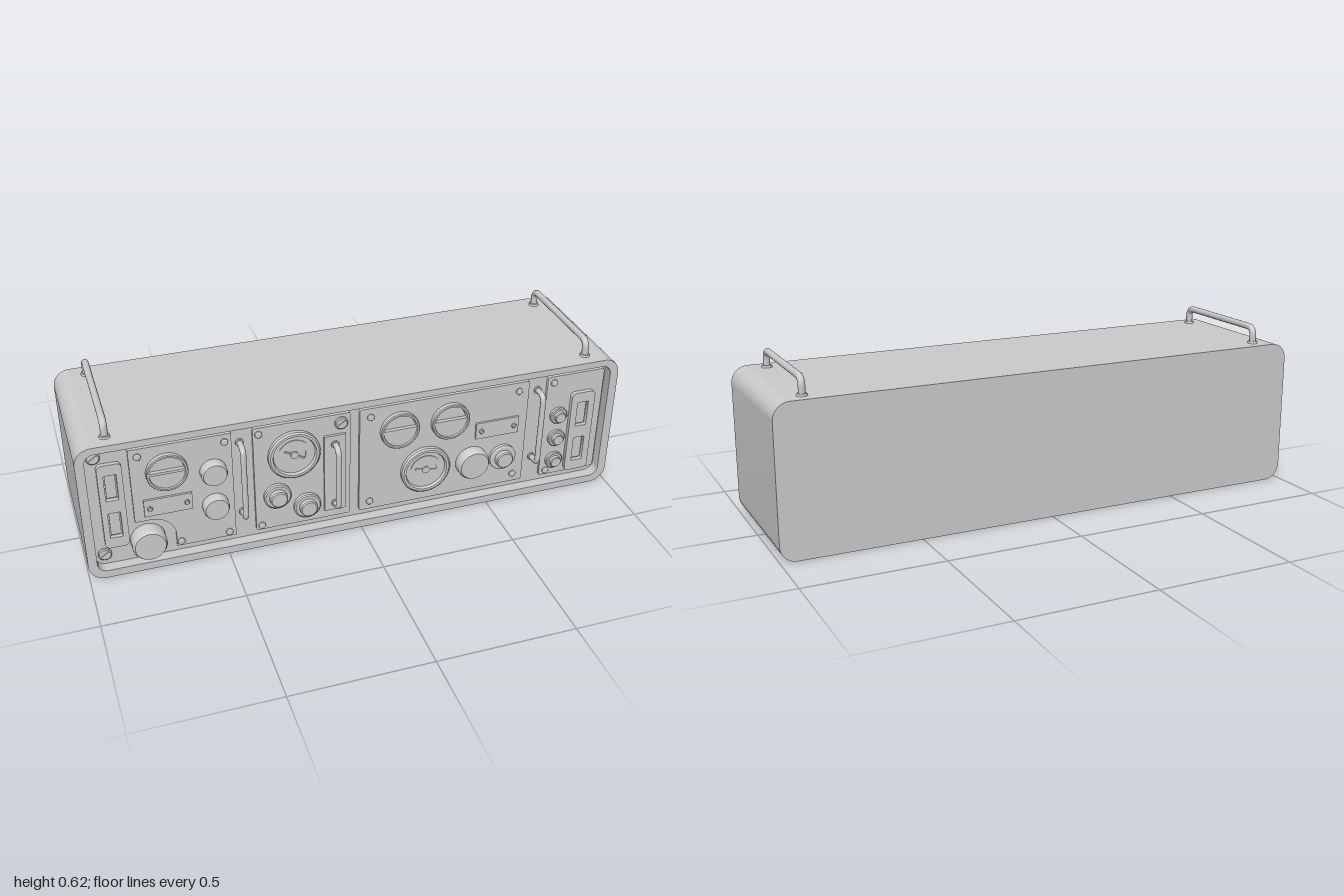
import * as THREE from 'three';
import { toCreasedNormals } from 'three/addons/utils/BufferGeometryUtils.js';

const H = 0.543, FRONT = 0.256, BACK = -0.288;
const BASE = 0.215, PANEL = 0.226; // recessed wall and raised panel surfaces

export function createModel() {
  const root = new THREE.Group();
  const mat = new THREE.MeshStandardMaterial({ color: 0xcccccc });

  const add = (name, geo, x = 0, y = 0, z = 0, parent = root) => {
    const m = new THREE.Mesh(geo, mat);
    m.name = name;
    m.position.set(x, y, z);
    parent.add(m);
    return m;
  };
  const group = (name, x, y, z) => {
    const g = new THREE.Group();
    g.name = name;
    g.position.set(x, y, z);
    root.add(g);
    return g;
  };

  // Rounded rectangle outline, usable as a shape or a hole
  const roundRect = (x0, y0, x1, y1, r, Type = THREE.Shape) => {
    const s = new Type();
    s.moveTo(x0 + r, y0);
    s.lineTo(x1 - r, y0);
    s.absarc(x1 - r, y0 + r, r, -Math.PI / 2, 0);
    s.lineTo(x1, y1 - r);
    s.absarc(x1 - r, y1 - r, r, 0, Math.PI / 2);
    s.lineTo(x0 + r, y1);
    s.absarc(x0 + r, y1 - r, r, Math.PI / 2, Math.PI);
    s.lineTo(x0, y0 + r);
    s.absarc(x0 + r, y0 + r, r, Math.PI, Math.PI * 1.5);
    return s;
  };
  const extrude = (shape, depth, curveSegments = 12) => toCreasedNormals(
    new THREE.ExtrudeGeometry(shape, { depth, bevelEnabled: false, curveSegments }), 0.6);

  // Turned part whose axis points to the front; points are [radius, height]
  const turned = (points, seg = 32) => toCreasedNormals(new THREE.LatheGeometry(
    points.map(p => new THREE.Vector2(p[0], p[1])), seg).rotateX(Math.PI / 2), 0.6);

  // Round bar bent into a bracket: two legs along +y, span along x
  const bracket = (span, rise, radius, bend) => {
    const a = span / 2, V = (x, y) => new THREE.Vector3(x, y, 0);
    const path = new THREE.CurvePath();
    path.add(new THREE.LineCurve3(V(-a, 0), V(-a, rise - bend)));
    path.add(new THREE.QuadraticBezierCurve3(V(-a, rise - bend), V(-a, rise), V(-a + bend, rise)));
    path.add(new THREE.LineCurve3(V(-a + bend, rise), V(a - bend, rise)));
    path.add(new THREE.QuadraticBezierCurve3(V(a - bend, rise), V(a, rise), V(a, rise - bend)));
    path.add(new THREE.LineCurve3(V(a, rise - bend), V(a, 0)));
    return new THREE.TubeGeometry(path, 90, radius, 12);
  };

  // Case: solid body and front rim around the recess
  add('caseBody', extrude(roundRect(-1, 0, 1, H, 0.06), BASE - BACK), 0, 0, BACK);
  const rim = roundRect(-1, 0, 1, H, 0.06);
  rim.holes.push(roundRect(-0.968, 0.03, 0.968, H - 0.026, 0.035, THREE.Path));
  add('frontRim', extrude(rim, FRONT - BASE), 0, 0, BASE);

  // Carrying handles on top
  for (const side of [1, -1]) {
    const g = group(side > 0 ? 'leftCarryHandle' : 'rightCarryHandle', side * 0.885, H, -0.018);
    add('handleBar', bracket(0.431, 0.06, 0.0125, 0.032), 0, 0, 0, g).rotation.y = Math.PI / 2;
    for (const z of [-0.2155, 0.2155])
      add('handleFoot', new THREE.CylinderGeometry(0.017, 0.019, 0.008, 20), 0, 0.004, z, g);
  }

  // Raised panels; the first one is cut away around the large knob
  const thick = PANEL - BASE;
  const notched = new THREE.Shape();
  notched.moveTo(-0.68, 0.055);
  notched.lineTo(-0.465, 0.055);
  notched.lineTo(-0.465, 0.49);
  notched.lineTo(-0.82, 0.49);
  notched.lineTo(-0.82, 0.19);
  notched.lineTo(-0.765, 0.19);
  notched.absarc(-0.765, 0.105, 0.085, Math.PI / 2, 0, true);
  add('notchedPanel', extrude(notched, thick), 0, 0, BASE);
  add('middlePanel', extrude(roundRect(-0.39, 0.055, -0.035, 0.49, 0.008), thick), 0, 0, BASE);
  add('widePanel', extrude(roundRect(0, 0.055, 0.655, 0.49, 0.008), thick), 0, 0, BASE);
  add('endPanel', extrude(roundRect(0.73, 0.055, 0.96, 0.49, 0.008), thick), 0, 0, BASE);

  // Switch plates with two framed windows
  const switchPlate = (name, x0, y0, x1, y1, z) => {
    const g = group(name, (x0 + x1) / 2, (y0 + y1) / 2, z);
    const w = (x1 - x0) / 2, h = (y1 - y0) / 2;
    const plate = roundRect(-w, -h, w, h, 0.018);
    for (const c of [0.078, -0.078])
      plate.holes.push(roundRect(-0.022, c - 0.052, 0.022, c + 0.052, 0.002, THREE.Path));
    add('plate', extrude(plate, 0.016), 0, 0, 0, g);
    for (const c of [0.078, -0.078])
      add('rocker', new THREE.BoxGeometry(0.036, 0.092, 0.006), 0, c, 0.003, g);
  };
  switchPlate('rightSwitchPlate', -0.93, 0.105, -0.845, 0.45, BASE);
  switchPlate('leftSwitchPlate', 0.83, 0.065, 0.925, 0.41, PANEL);

  // Slotted corner screws
  for (const [x, y, z] of [[-0.935, 0.48, BASE], [-0.935, 0.075, BASE], [-0.07, 0.455, PANEL]]) {
    const g = group('slottedScrew', x, y, z);
    add('screwHead', turned([[0.024, 0], [0.024, 0.007], [0.02, 0.01], [0, 0.01]], 24), 0, 0, 0, g);
    add('screwBlade', new THREE.BoxGeometry(0.038, 0.007, 0.004), 0, 0, 0.011, g).rotation.z = 0.6;
  }

  // Small panel screws
  const bolt = (x, y, z, r = 0.013) =>
    add('panelScrew', turned([[r, 0], [r, 0.006], [r * 0.7, 0.009], [0, 0.009]], 16), x, y, z);
  [[-0.79, 0.46], [-0.49, 0.46], [-0.665, 0.075], [-0.49, 0.075], [-0.37, 0.465], [-0.37, 0.075],
    [0.04, 0.455], [0.04, 0.09], [0.615, 0.455], [0.615, 0.09], [0.755, 0.465], [0.755, 0.075],
  ].forEach(([x, y]) => bolt(x, y, PANEL));

  // Blank label plates
  for (const [x, y] of [[-0.7, 0.245], [0.535, 0.315]]) {
    add('labelPlate', new THREE.BoxGeometry(0.17, 0.068, 0.008), x, y, PANEL + 0.004);
    for (const s of [-1, 1]) bolt(x + s * 0.065, y, PANEL + 0.008, 0.009);
  }

  // Half-window gauges: ring, sunken face, lower cover and bar
  for (const [x, y] of [[-0.695, 0.383], [0.15, 0.383], [0.345, 0.383]]) {
    const g = group('halfGauge', x, y, PANEL);
    add('ring', turned([[0.073, 0], [0.073, 0.016], [0.07, 0.019], [0.064, 0.019], [0.06, 0.002]], 40), 0, 0, 0, g);
    add('face', new THREE.CircleGeometry(0.062, 32), 0, 0, 0.002, g);
    const half = new THREE.Shape();
    half.absarc(0, 0, 0.062, Math.PI, Math.PI * 2);
    add('lowerCover', extrude(half, 0.013), 0, 0, 0, g);
    add('bar', new THREE.BoxGeometry(0.125, 0.01, 0.017), 0, 0.003, 0.0085, g);
  }

  // Round dials: ring, face, raised arc and needle
  for (const [x, y, tilt] of [[-0.245, 0.36, 0.5], [0.255, 0.19, 0.2]]) {
    const g = group('roundDial', x, y, PANEL);
    add('ring', turned([[0.095, 0], [0.095, 0.014], [0.089, 0.019], [0.08, 0.019], [0.076, 0.008]], 48), 0, 0, 0, g);
    add('face', new THREE.CircleGeometry(0.078, 40), 0, 0, 0.008, g);
    const arc = new THREE.Shape();
    arc.absarc(0, 0, 0.06, 0, Math.PI);
    arc.absarc(0, 0, 0.042, Math.PI, 0, true);
    add('scaleArc', extrude(arc, 0.003, 24), 0, 0, 0.008, g).rotation.z = -tilt;
    add('needle', new THREE.BoxGeometry(0.08, 0.006, 0.004), 0, 0, 0.01, g).rotation.z = -tilt;
    add('hub', turned([[0.014, 0], [0.014, 0.006], [0, 0.006]], 20), 0, 0, 0.008, g);
  }

  // Plain knobs: [x, y, base z, radius, height]
  for (const [x, y, z, r, h] of [
    [-0.78, 0.107, BASE, 0.062, 0.055], [-0.535, 0.35, PANEL, 0.047, 0.036],
    [-0.535, 0.205, PANEL, 0.047, 0.036], [0.44, 0.185, PANEL, 0.062, 0.041],
  ]) add('knob', turned([[r, 0], [r, h - 0.012], [r * 0.88, h], [0, h]], 36), x, y, z);

  // Stepped knobs with a flange: [x, y, radius, height]
  for (const [x, y, r, h] of [
    [-0.31, 0.195, 0.05, 0.036], [-0.2, 0.13, 0.05, 0.036], [0.565, 0.18, 0.052, 0.036],
    [0.785, 0.32, 0.034, 0.028], [0.785, 0.22, 0.034, 0.028], [0.785, 0.12, 0.034, 0.028],
  ]) {
    add('steppedKnob', turned([[r, 0], [r, h * 0.35], [r * 0.9, h * 0.45], [r * 0.66, h * 0.45],
      [r * 0.64, h * 0.9], [r * 0.56, h], [0, h]], 32), x, y, PANEL);
  }

  // Vertical pull handles on the front
  const pull = (x, y0, y1, z, reach) => {
    const g = group('pullHandle', x, (y0 + y1) / 2, z);
    const bar = add('handleBar', bracket(y1 - y0 - 0.021, reach - z - 0.0105, 0.0105, 0.026), 0, 0, 0, g);
    bar.rotation.set(Math.PI / 2, 0, Math.PI / 2, 'ZXY');
    for (const s of [-1, 1])
      add('handleFoot', turned([[0.015, 0], [0.015, 0.006], [0, 0.006]], 16), 0, s * (y1 - y0 - 0.021) / 2, 0, g);
  };
  pull(-0.435, 0.135, 0.45, BASE, 0.278);
  pull(0.695, 0.135, 0.45, BASE, 0.278);
  add('handlePlate', new THREE.BoxGeometry(0.08, 0.32, 0.01), -0.095, 0.25, PANEL + 0.005);
  pull(-0.095, 0.11, 0.385, PANEL + 0.01, 0.288);

  return root;
}
